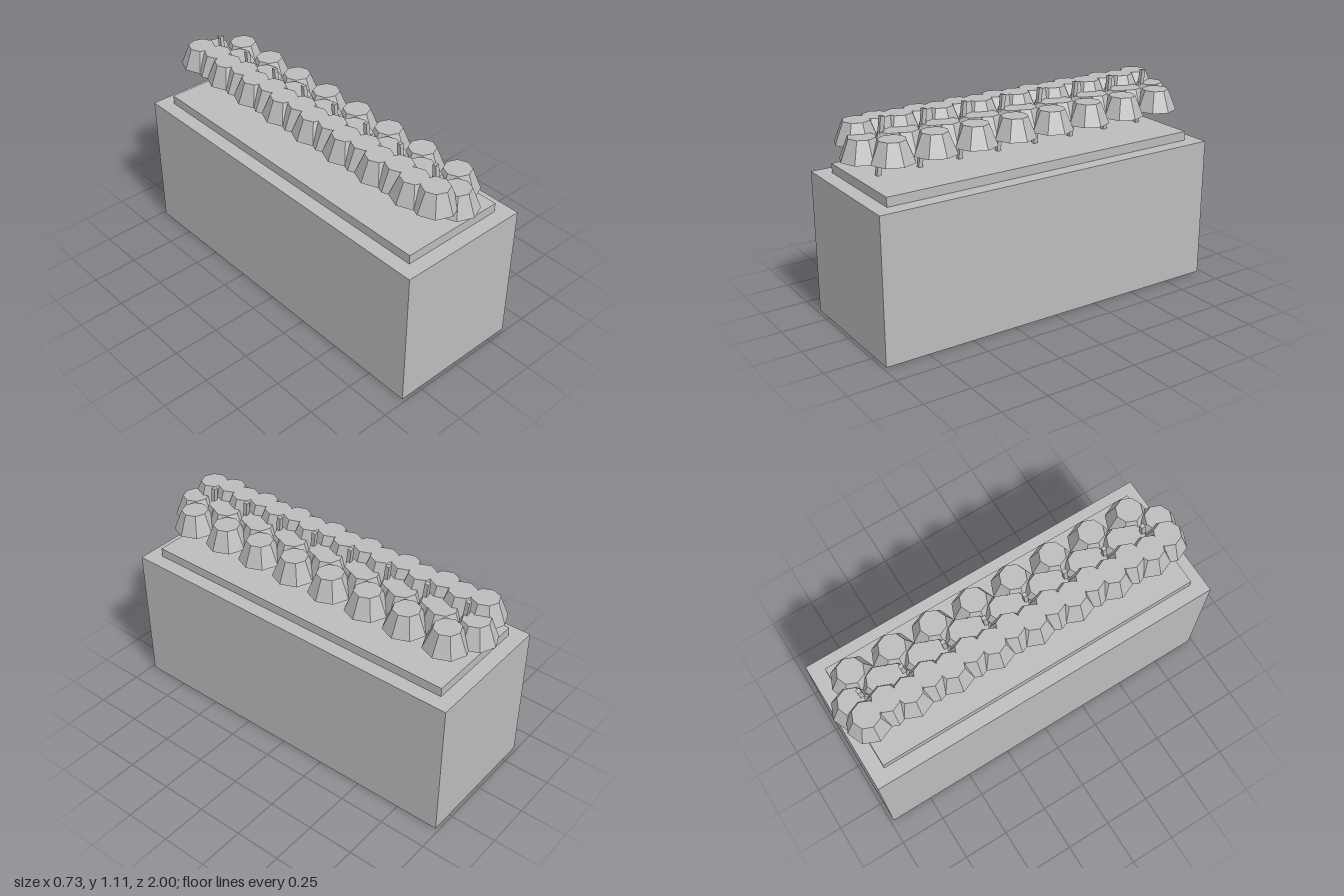
import * as THREE from 'three';

export function createModel() {
  const group = new THREE.Group();
  group.name = 'planter';
  const grey = new THREE.MeshStandardMaterial({ color: 0xbcbcbc, flatShading: true });
  grey.name = 'grey';

  const add = (parent, name, geometry, x, y, z) => {
    const mesh = new THREE.Mesh(geometry, grey);
    mesh.name = name;
    mesh.position.set(x, y, z);
    parent.add(mesh);
    return mesh;
  };

  // Trough and the raised soil bed on it
  add(group, 'trough', new THREE.BoxGeometry(0.734, 0.767, 1.966), 0, 0.3835, 0);
  add(group, 'soilBed', new THREE.BoxGeometry(0.58, 0.05, 1.81), 0, 0.791, 0);

  // Shared plant shapes
  const stemHeight = 0.315;
  const lean = 0.11;
  const stemGeometry = new THREE.BoxGeometry(0.022, stemHeight, 0.022);
  const bloomGeometry = new THREE.CylinderGeometry(0.07, 0.115, 0.11, 8);

  // Bloom centres around each stem: x, y, z
  const blooms = [
    [0.135, 0.978, -0.015],
    [0.023, 0.978, 0.085],
    [0, 0.978, -0.085],
    [-0.09, 1.028, 0.055],
    [-0.11, 1.028, -0.06],
  ];

  // Row of eight plants with stems leaning back
  const count = 8;
  for (let i = 0; i < count; i++) {
    const plant = new THREE.Group();
    plant.name = 'plant';
    plant.position.z = 0.8 - (1.6 * i) / (count - 1);
    const stem = add(plant, 'stem', stemGeometry, 0, 0.952, -0.018);
    stem.rotation.x = -lean;
    for (const [x, y, z] of blooms) add(plant, 'bloom', bloomGeometry, x, y, z);
    group.add(plant);
  }
  return group;
}
